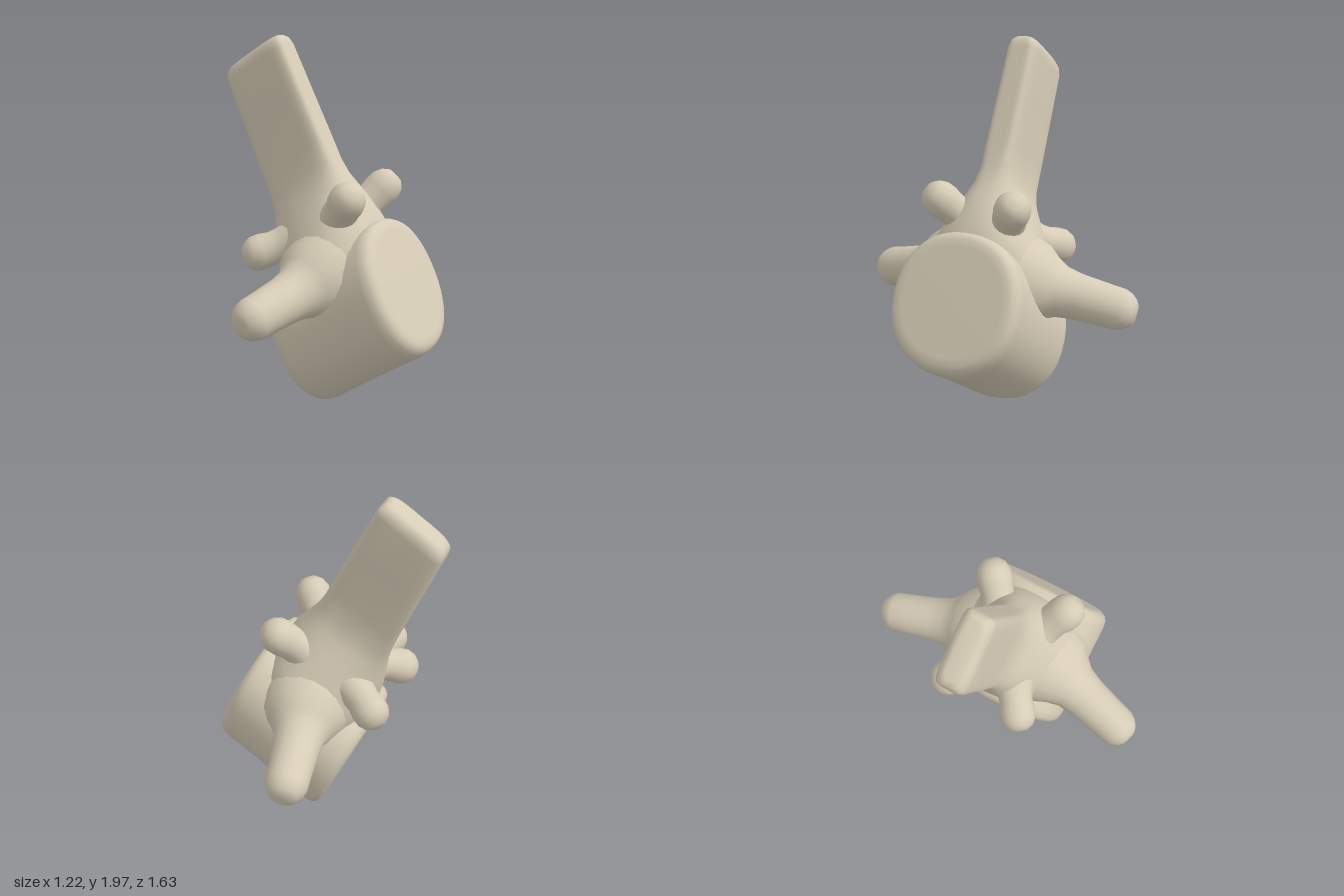
import * as THREE from 'three';

// Leaning frame shared by the body and spine: U runs through the body, V up the spine
const C = new THREE.Vector3(0.185, 0.525, 0);
const U = new THREE.Vector3(0.845, 0.535, 0);
const V = new THREE.Vector3(-0.415, 0.91, 0);
const Z = new THREE.Vector3(0, 0, 1);

const bone = new THREE.MeshStandardMaterial({ color: 0xd6ccb6 });
bone.name = 'bone';

// Skin over superellipse sections [distance along axis, half size a, half size b, exponent]
function loft(axis, a, b, sections, seg = 48) {
  const pos = [], idx = [];
  const pw = (x, n) => Math.sign(x) * Math.pow(Math.abs(x), 2 / n);
  for (const [d, ra, rb, n] of sections) {
    for (let j = 0; j < seg; j++) {
      const t = ((j + 0.5) / seg) * Math.PI * 2;
      const p = C.clone().addScaledVector(axis, d)
        .addScaledVector(a, ra * pw(Math.cos(t), n))
        .addScaledVector(b, rb * pw(Math.sin(t), n));
      pos.push(p.x, p.y, p.z);
    }
  }
  for (let i = 0; i < sections.length - 1; i++) {
    for (let j = 0; j < seg; j++) {
      const k = (j + 1) % seg;
      const p = i * seg + j, q = i * seg + k;
      idx.push(p, q, q + seg, p, q + seg, p + seg);
    }
  }
  const g = new THREE.BufferGeometry();
  g.setAttribute('position', new THREE.Float32BufferAttribute(pos, 3));
  g.setIndex(idx);
  g.computeVertexNormals();
  return g;
}

// Turned knob from one point to another, profile [radius, fraction of length]
function limb(from, to, profile) {
  const dir = to.clone().sub(from);
  const len = dir.length();
  const g = new THREE.LatheGeometry(profile.map(([r, t]) => new THREE.Vector2(r, t * len)), 20);
  g.applyQuaternion(new THREE.Quaternion().setFromUnitVectors(new THREE.Vector3(0, 1, 0), dir.normalize()));
  return g.translate(from.x, from.y, from.z);
}

export function createModel() {
  const group = new THREE.Group();
  group.name = 'vertebra';
  const add = (name, geometry) => {
    const m = new THREE.Mesh(geometry, bone);
    m.name = name;
    group.add(m);
  };

  // Drum-shaped body with softened rims
  const half = [[0, 0.375], [0.15, 0.375], [0.28, 0.378], [0.32, 0.372], [0.345, 0.355], [0.358, 0.33], [0.36, 0.29], [0.36, 0]];
  const rings = [...half.slice(1).reverse().map(([d, r]) => [-d, r]), ...half];
  add('body', loft(U, V, Z, rings.map(([d, r]) => [d, r, r, 2.2])));

  // Arch narrowing into the flat spine
  add('archAndSpine', loft(V, Z, U, [
    [0.1, 0.36, 0.3, 2.2],
    [0.3, 0.35, 0.315, 2.2],
    [0.4, 0.3, 0.31, 2.2],
    [0.5, 0.24, 0.295, 2.2],
    [0.6, 0.185, 0.265, 2.4],
    [0.68, 0.135, 0.24, 2.8],
    [0.77, 0.1, 0.225, 4],
    [0.9, 0.09, 0.218, 6],
    [1.2, 0.089, 0.21, 6],
    [1.44, 0.088, 0.204, 6],
    [1.48, 0.08, 0.197, 5],
    [1.503, 0.062, 0.178, 4],
    [1.51, 0.04, 0.15, 4],
    [1.51, 0, 0, 4],
  ]));

  // Paired processes, mirrored across the middle
  const wing = [[0.25, 0], [0.225, 0.14], [0.175, 0.24], [0.14, 0.34], [0.125, 0.48], [0.117, 0.7],
    [0.113, 0.86], [0.1, 0.92], [0.075, 0.97], [0.045, 1], [0, 1]];
  const knob = [[0.16, 0], [0.13, 0.2], [0.1, 0.4], [0.09, 0.55], [0.098, 0.7], [0.096, 0.82],
    [0.078, 0.92], [0.045, 0.99], [0, 1]];
  for (const [side, s] of [['left', 1], ['right', -1]]) {
    // model faces +z, so pairs are told apart by front and back
    const end = s > 0 ? 'Front' : 'Back';
    const v = (x, y, z) => new THREE.Vector3(x, y, z * s);
    add('transverseProcess' + end, limb(v(0.075, 0.74, 0.2), v(-0.065, 0.615, 0.8), wing));
    add('upperKnob' + end, limb(v(0.05, 0.96, 0.06), v(0.28, 1.235, 0.265), knob));
    add('lowerKnob' + end, limb(v(-0.08, 0.92, 0.06), v(-0.375, 0.81, 0.27), knob));
  }
  return group;
}
